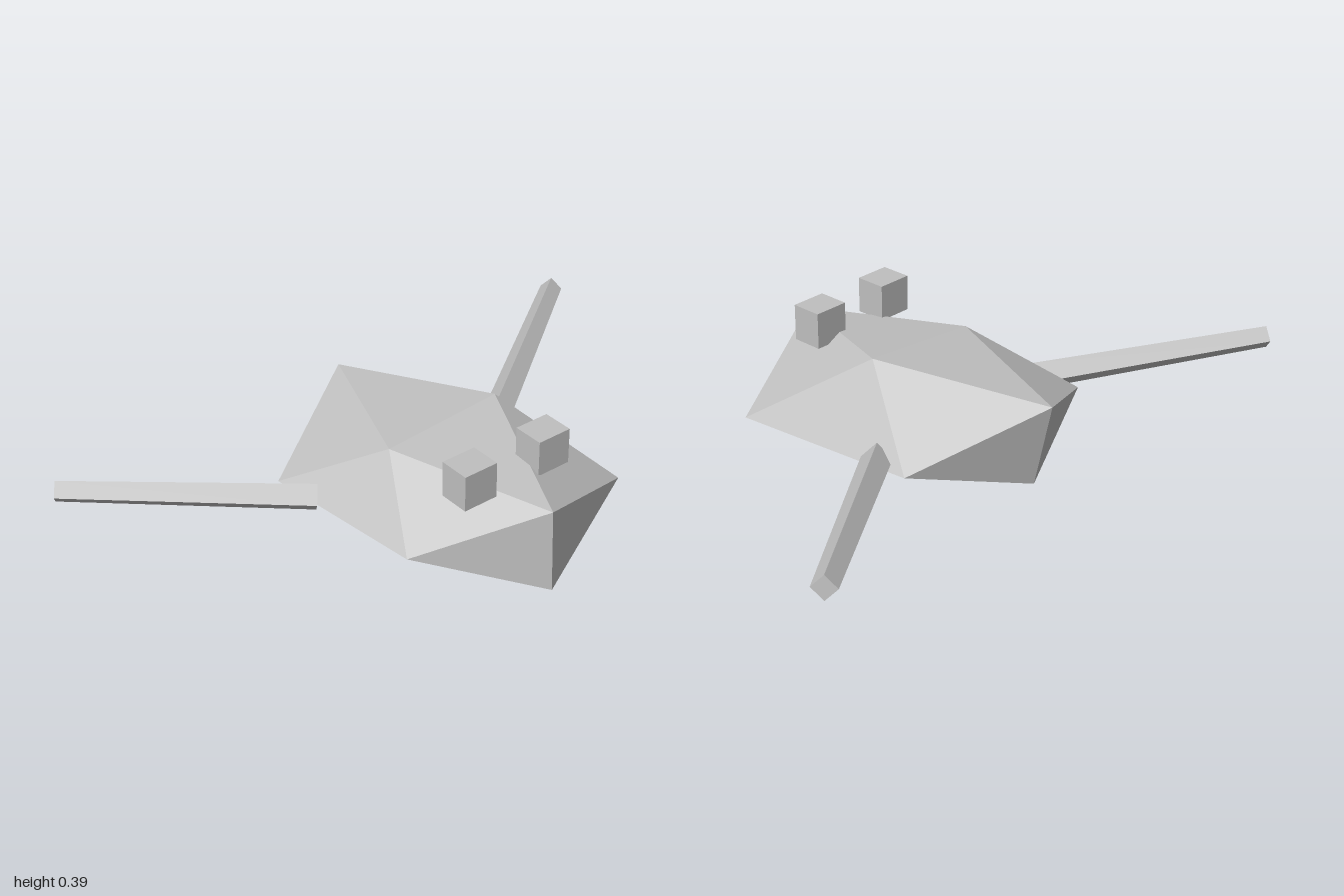
import * as THREE from 'three';

const grey = new THREE.MeshStandardMaterial({ color: 0xc0c0c0, flatShading: true });
grey.name = 'plain grey';

// Irregular twenty-sided body: an icosahedron whose corners are pulled to new places
function bodyGeometry() {
  const corners = [
    [-0.19, 0.30, 0.05], [0.21, 0.333, 0.055],    // top pair
    [-0.19, 0, 0.05], [0.21, 0, 0.06],            // bottom pair
    [0, 0, 0.562], [0, 0.27, 0.552],              // nose, low and high
    [0, 0, -0.395], [0, 0.275, -0.455],           // tail, low and high
    [0.365, 0.105, -0.22], [0.43, 0.105, 0.38],   // left side, back and front
    [-0.39, 0.115, -0.24], [-0.315, 0.10, 0.29],  // right side, back and front
  ];
  const faces = [
    0, 11, 5, 0, 5, 1, 0, 1, 7, 0, 7, 10, 0, 10, 11,
    1, 5, 9, 5, 11, 4, 11, 10, 2, 10, 7, 6, 7, 1, 8,
    3, 9, 4, 3, 4, 2, 3, 2, 6, 3, 6, 8, 3, 8, 9,
    4, 9, 5, 2, 4, 11, 6, 2, 10, 8, 6, 7, 9, 8, 1,
  ];
  const geometry = new THREE.BufferGeometry();
  const positions = faces.flatMap((i) => corners[i]);
  geometry.setAttribute('position', new THREE.Float32BufferAttribute(positions, 3));
  geometry.computeVertexNormals();
  return geometry;
}

// Tapered four-sided bar from the body outwards, standing on its edge
function legMesh(side) {
  const inner = new THREE.Vector3(side * 0.35, 0.119, -0.097);
  const outer = new THREE.Vector3(side * 0.977, 0.178, -0.533);
  const along = outer.clone().sub(inner);
  const length = along.length();
  along.normalize();
  const across = new THREE.Vector3(along.z, 0, -along.x).normalize();
  const third = new THREE.Vector3().crossVectors(along, across);
  const mesh = new THREE.Mesh(new THREE.CylinderGeometry(0.037, 0.047, length, 4), grey);
  mesh.quaternion.setFromRotationMatrix(new THREE.Matrix4().makeBasis(third, along, across));
  mesh.position.copy(inner).lerp(outer, 0.5);
  return mesh;
}

export function createModel() {
  const model = new THREE.Group();
  model.name = 'creature';

  const body = new THREE.Mesh(bodyGeometry(), grey);
  body.name = 'body';
  model.add(body);

  for (const [side, label] of [[1, 'left'], [-1, 'right']]) {
    const leg = legMesh(side);
    leg.name = `${label}Leg`;

    // Block eyes sitting on the sloping front
    const eye = new THREE.Mesh(new THREE.BoxGeometry(0.115, 0.115, 0.1), grey);
    eye.name = `${label}Eye`;
    eye.position.set(side * 0.137, 0.334, 0.351);
    model.add(leg, eye);
  }
  return model;
}
